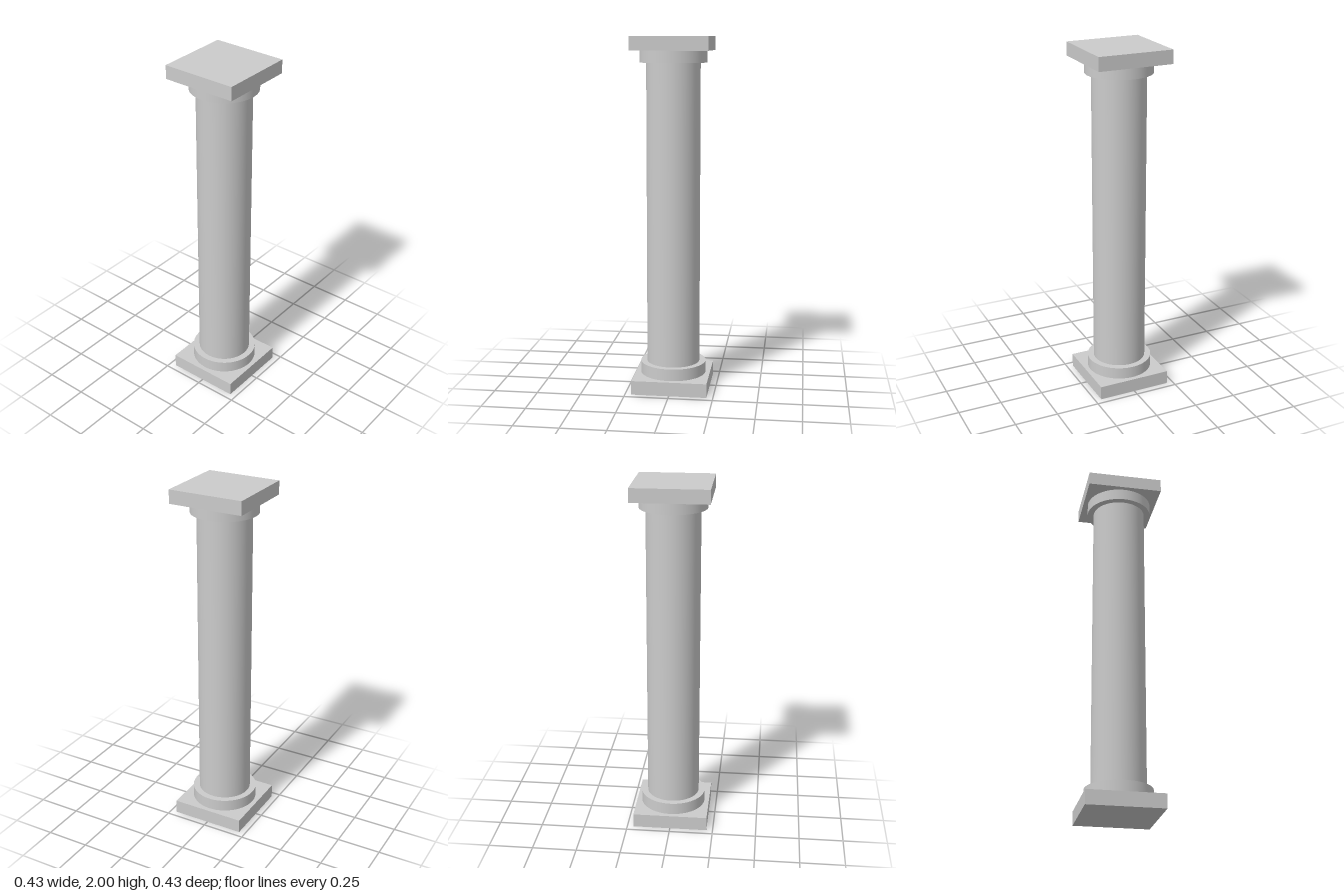
import * as THREE from 'three';

export function createModel() {
  const model = new THREE.Group();
  const material = new THREE.MeshStandardMaterial({ color: 0xcccccc });

  // Adds a part spanning the heights y0 to y1
  const add = (name, geometry, y0, y1) => {
    const mesh = new THREE.Mesh(geometry, material);
    mesh.name = name;
    mesh.position.y = (y0 + y1) / 2;
    model.add(mesh);
  };
  const slab = (name, y0, y1) =>
    add(name, new THREE.BoxGeometry(0.427, y1 - y0, 0.427), y0, y1);
  const drum = (name, radius, y0, y1) =>
    add(name, new THREE.CylinderGeometry(radius, radius, y1 - y0, 64), y0, y1);

  // Square foot and round base
  slab('plinth', 0, 0.08);
  drum('baseRing', 0.187, 0.08, 0.148);

  // Plain round shaft
  drum('shaft', 0.151, 0.148, 1.857);

  // Round neck and square cap
  drum('capitalRing', 0.187, 1.857, 1.923);
  slab('abacus', 1.923, 2);

  return model;
}
